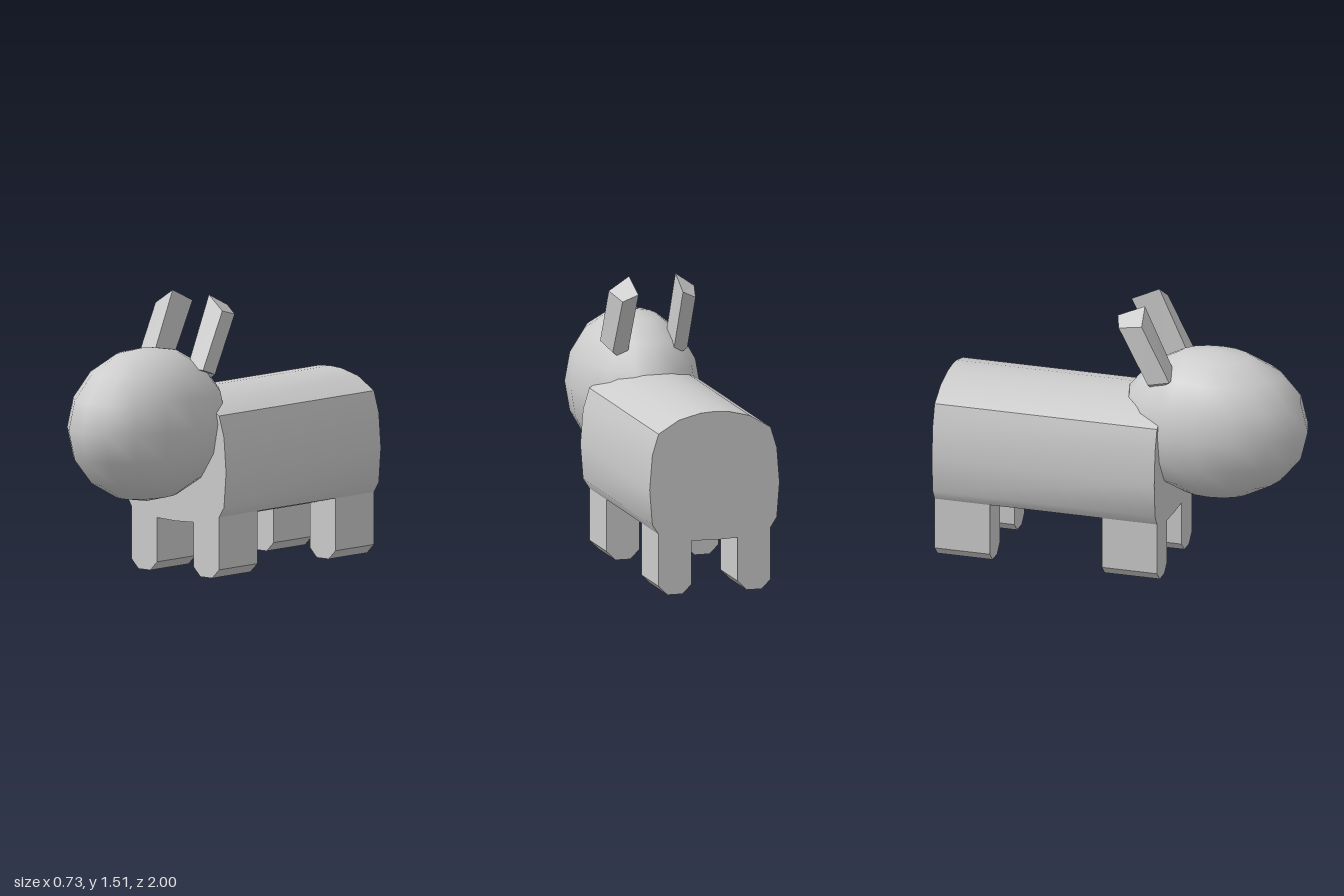
import * as THREE from 'three';
import { toCreasedNormals } from 'three/addons/utils/BufferGeometryUtils.js';

const grey = new THREE.MeshStandardMaterial({ color: 0xcccccc });
grey.name = 'light grey';

function part(name, geometry) {
  const mesh = new THREE.Mesh(geometry, grey);
  mesh.name = name;
  return mesh;
}

// Extrude an x/y outline from z = back to z = front
function slab(points, back, front) {
  const shape = new THREE.Shape(points.map(([x, y]) => new THREE.Vector2(x, y)));
  const geometry = new THREE.ExtrudeGeometry(shape, { depth: front - back, bevelEnabled: false });
  geometry.translate(0, 0, back);
  return toCreasedNormals(geometry, 0.6);
}

// Loft between two four-cornered rings, each counter-clockwise seen from above
function loft(bottom, top) {
  const geometry = new THREE.BufferGeometry();
  geometry.setAttribute('position', new THREE.Float32BufferAttribute([...bottom, ...top].flat(), 3));
  const index = [0, 2, 1, 0, 3, 2, 4, 5, 6, 4, 6, 7];
  for (let i = 0; i < 4; i++) {
    const j = (i + 1) % 4;
    index.push(i, j, j + 4, i, j + 4, i + 4);
  }
  geometry.setIndex(index);
  const flat = geometry.toNonIndexed();
  flat.computeVertexNormals();
  return flat;
}

export function createModel() {
  const model = new THREE.Group();
  model.name = 'animal';

  // Body: barrel outline with sharp shoulder and belly corners
  const half = [
    [0.13, 0.29], [0.315, 0.335], [0.35, 0.39], [0.365, 0.58],
    [0.35, 0.77], [0.315, 0.885], [0.2, 0.955], [0.08, 0.985],
  ];
  const mirrored = half.map(([x, y]) => [-x, y]).reverse();
  model.add(part('body', slab([[0, 0.285], ...half, [0, 0.99], ...mirrored], -1, 0.25)));

  // Head: egg-shaped sphere
  const head = new THREE.SphereGeometry(1, 16, 8);
  head.scale(0.347, 0.418, 0.52);
  head.translate(0, 0.837, 0.48);
  model.add(part('head', head));

  for (const [side, s] of [['left', 1], ['right', -1]]) {
    // Legs: blocks with chamfered feet
    const outline = [[0.18, 0], [0.265, 0], [0.315, 0.05], [0.315, 0.335], [0.13, 0.29], [0.13, 0.05]]
      .map(([x, y]) => [x * s, y]);
    model.add(part(side + 'FrontLeg', slab(outline, -0.06, 0.25)));
    model.add(part(side + 'BackLeg', slab(outline, -1, -0.69)));

    // Ears: twisted bars leaning back: inner front, outer front, outer back, inner back
    const mirror = (ring) => {
      const r = ring.map(([x, y, z]) => [x * s, y, z]);
      return s > 0 ? r : r.reverse();
    };
    const ear = loft(
      mirror([[0.13, 1.13, 0.3], [0.24, 1.13, 0.295], [0.21, 1.09, 0.165], [0.13, 1.03, 0.18]]),
      mirror([[0.13, 1.512, 0.125], [0.24, 1.435, 0.14], [0.205, 1.4, 0], [0.125, 1.44, -0.03]])
    );
    model.add(part(side + 'Ear', ear));
  }
  return model;
}
